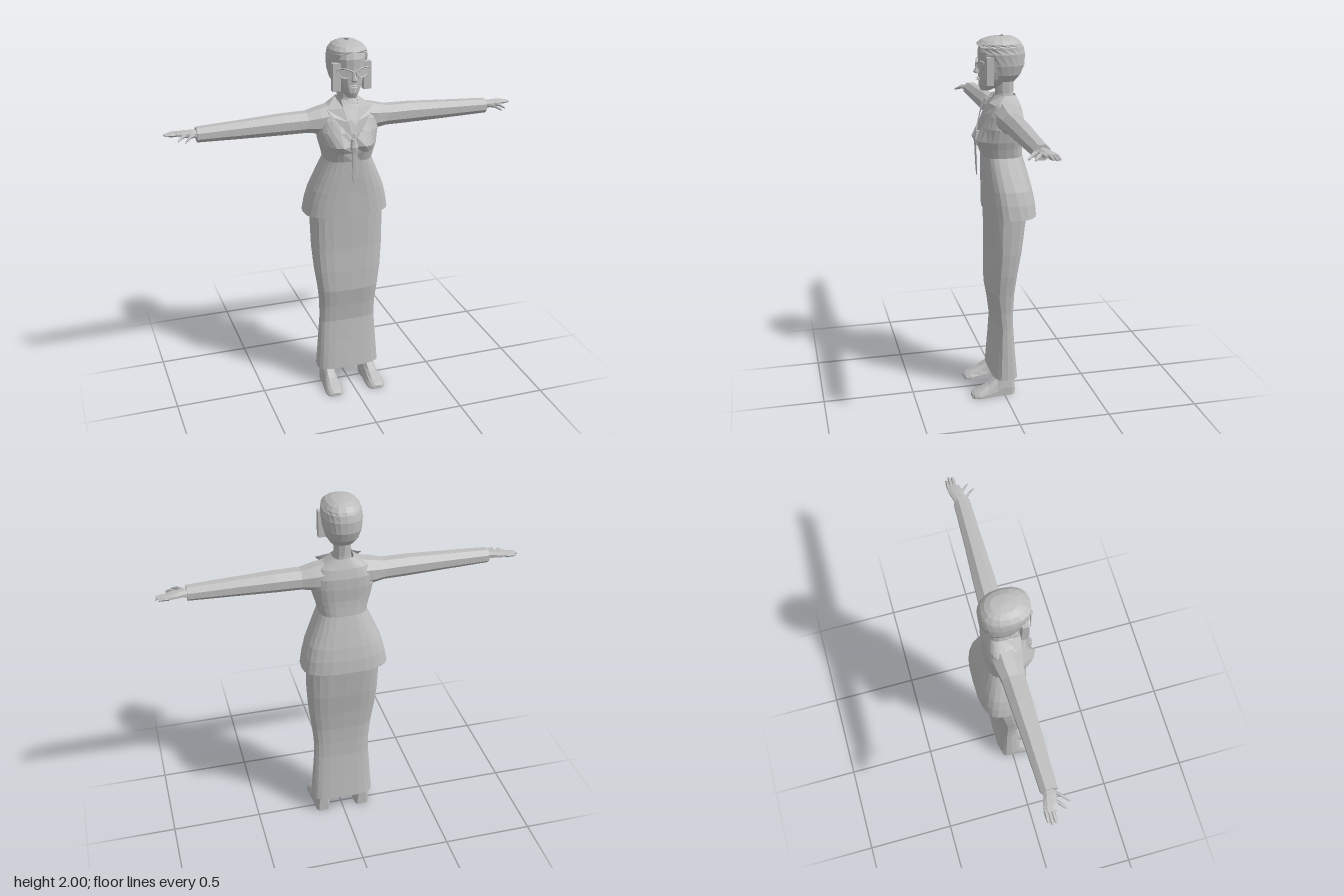
import * as THREE from 'three';

// Skin a list of point rings; optional end caps; faceted normals.
function loft(rings, { closed = true, caps = false } = {}) {
  const n = rings[0].length, pos = [], idx = [];
  rings.forEach(r => r.forEach(p => pos.push(...p)));
  for (let i = 0; i < rings.length - 1; i++) {
    for (let k = 0; k < (closed ? n : n - 1); k++) {
      const k2 = (k + 1) % n, a = i * n + k, b = i * n + k2;
      idx.push(a, b, a + n, b, b + n, a + n);
    }
  }
  if (caps) {
    [0, rings.length - 1].forEach((ri, end) => {
      const c = pos.length / 3;
      for (let d = 0; d < 3; d++) pos.push(rings[ri].reduce((s, p) => s + p[d], 0) / n);
      for (let k = 0; k < n; k++) {
        const a = ri * n + k, b = ri * n + (k + 1) % n;
        idx.push(...(end ? [a, b, c] : [b, a, c]));
      }
    });
  }
  const g = new THREE.BufferGeometry();
  g.setAttribute('position', new THREE.Float32BufferAttribute(pos, 3));
  g.setIndex(idx);
  return facet(g);
}

function facet(g) {
  const f = g.index ? g.toNonIndexed() : g;
  f.computeVertexNormals();
  return f;
}

const pow = (v, e) => Math.sign(v) * Math.abs(v) ** e;

// Horizontal rounded-box ring; gap is the half-width of a front opening.
function ring([y, hw, zf, zb, gap = 0], n, e, open = false) {
  const a0 = Math.asin(Math.min(1, (gap / hw) ** (1 / e)));
  const zc = (zf + zb) / 2, r = (zf - zb) / 2, pts = [];
  for (let k = 0; k < n; k++) {
    const a = a0 + (2 * Math.PI - 2 * a0) * k / (open ? n - 1 : n);
    pts.push([hw * pow(Math.sin(a), e), y, zc + r * pow(Math.cos(a), e)]);
  }
  return pts;
}

// Upright ring across x, for sleeves and hands.
function sideRing([x, yc, ry, zc, rz], n = 8) {
  return Array.from({ length: n }, (_, k) => {
    const a = (k + 0.5) * 2 * Math.PI / n;
    return [x, yc + ry * 1.08 * Math.cos(a), zc + rz * 1.08 * Math.sin(a)];
  });
}

export function createModel() {
  const model = new THREE.Group();
  const grey = new THREE.MeshStandardMaterial({ color: 0xbdbdbd, side: THREE.DoubleSide });
  const add = (name, geo, parent = model) => {
    const m = new THREE.Mesh(geo, grey);
    m.name = name;
    parent.add(m);
    return m;
  };

  // Long skirt
  add('skirt', loft([
    [0.1, 0.18, 0.06, -0.085], [0.28, 0.168, 0.045, -0.07], [0.4, 0.16, 0.037, -0.062],
    [0.5, 0.16, 0.05, -0.063], [0.6, 0.17, 0.068, -0.068], [0.72, 0.187, 0.068, -0.083],
    [0.85, 0.197, 0.065, -0.105], [1.05, 0.2, 0.07, -0.13], [1.2, 0.17, 0.072, -0.13],
    [1.32, 0.13, 0.08, -0.11],
  ].map(s => ring(s, 20, 0.6))));

  // Flared jacket, open in front below the waist, with a bust bulge
  const jacket = [
    [1.055, 0.235, 0.08, -0.185, 0.045], [1.13, 0.222, 0.083, -0.178, 0.03],
    [1.2, 0.203, 0.086, -0.165, 0.016], [1.27, 0.173, 0.09, -0.147, 0],
    [1.37, 0.128, 0.093, -0.12, 0], [1.42, 0.14, 0.097, -0.116, 0],
    [1.46, 0.153, 0.098, -0.115, 0], [1.53, 0.165, 0.092, -0.12, 0],
    [1.59, 0.16, 0.072, -0.12, 0], [1.64, 0.13, 0.045, -0.108, 0],
    [1.665, 0.09, 0.032, -0.098, 0], [1.69, 0.055, 0.022, -0.088, 0],
  ].map(s => ring(s, 25, 0.68, true));
  jacket.flat().forEach(p => {
    if (p[2] > 0) {
      p[2] += 0.042 * Math.exp(-(((Math.abs(p[0]) - 0.065) / 0.055) ** 2) - ((p[1] - 1.47) / 0.05) ** 2);
    }
  });
  add('jacket', loft(jacket, { closed: false }));

  // Hanging neckcloth
  add('neckcloth', loft([
    [1.26, 0.004, 0.124, 0.118], [1.3, 0.016, 0.126, 0.12], [1.42, 0.014, 0.132, 0.122],
    [1.46, 0.022, 0.137, 0.1], [1.5, 0.012, 0.125, 0.09],
  ].map(s => ring(s, 8, 0.8)), { caps: true }));

  // Neck
  add('neck', loft([
    [1.64, 0.055, 0.02, -0.085], [1.7, 0.043, 0.018, -0.08], [1.8, 0.045, 0.03, -0.085],
  ].map(s => ring(s, 10, 0.9))));

  // Head and facial features
  const head = new THREE.Group();
  head.name = 'head';
  model.add(head);
  add('face', loft([
    [1.718, 0.024, 0.096, 0.045], [1.745, 0.045, 0.108, -0.02], [1.78, 0.065, 0.109, -0.07],
    [1.82, 0.078, 0.11, -0.1], [1.87, 0.088, 0.11, -0.12], [1.92, 0.09, 0.113, -0.12],
    [1.96, 0.08, 0.1, -0.1],
  ].map(s => ring(s, 16, 0.9)), { caps: true }), head);
  add('hair', loft([
    [1.765, 0.062, 0.05, -0.085, 0.058], [1.8, 0.084, 0.07, -0.115, 0.078],
    [1.85, 0.098, 0.085, -0.135, 0.088], [1.91, 0.103, 0.112, -0.138, 0.085],
    [1.945, 0.1, 0.12, -0.13, 0.06], [1.96, 0.096, 0.117, -0.122, 0],
    [1.98, 0.078, 0.092, -0.103, 0], [1.994, 0.05, 0.05, -0.075, 0], [2, 0.012, 0, -0.03, 0],
  ].map(s => ring(s, 17, 0.85, true)), { closed: false }), head);
  add('nose', loft([
    [1.808, 0.013, 0.128, 0.1], [1.818, 0.014, 0.136, 0.1], [1.84, 0.008, 0.124, 0.1],
    [1.872, 0.006, 0.112, 0.1],
  ].map(s => ring(s, 6, 1)), { caps: true }), head);
  for (const [y, w] of [[1.775, 0.024], [1.785, 0.027]]) {
    const lip = new THREE.OctahedronGeometry(1).scale(w, 0.006, 0.016).translate(0, y, 0.107);
    add('lip', facet(lip), head);
  }

  // Sleeve, hand, shoe and the other paired parts, mirrored for the right
  for (const side of [1, -1]) {
    const half = new THREE.Group();
    half.name = side > 0 ? 'leftSide' : 'rightSide';
    half.scale.x = side;
    model.add(half);

    add('sideLock', facet(new THREE.BoxGeometry(0.042, 0.145, 0.035).translate(0.083, 1.828, 0.067)), half);

    // Almond-shaped glasses
    const lens = new THREE.Shape();
    lens.moveTo(0.008, 1.858);
    lens.quadraticCurveTo(0.045, 1.885, 0.086, 1.872);
    lens.quadraticCurveTo(0.075, 1.825, 0.04, 1.828);
    lens.quadraticCurveTo(0.014, 1.832, 0.008, 1.858);
    const rim = lens.getPoints(4).slice(0, -1).map(p => new THREE.Vector3(p.x, p.y, 0.122 - p.x * 0.3));
    const path = new THREE.CatmullRomCurve3(rim, true);
    add('glassesRim', facet(new THREE.TubeGeometry(path, 24, 0.004, 4, true)), half);
    const plate = new THREE.ShapeGeometry(lens, 4);
    const lp = plate.attributes.position;
    for (let i = 0; i < lp.count; i++) lp.setZ(i, 0.121 - lp.getX(i) * 0.3);
    add('glassesLens', facet(plate), half);

    // Lapel
    add('lapel', loft([
      [[0.045, 1.695, 0.03], [0.06, 1.7, -0.03]],
      [[0.04, 1.655, 0.062], [0.125, 1.652, 0.045]],
      [[0.025, 1.59, 0.094], [0.1, 1.615, 0.075]],
      [[0.005, 1.5, 0.118], [0.02, 1.51, 0.12]],
    ], { closed: false }), half);

    // Sleeve
    add('sleeve', loft([
      [0.09, 1.585, 0.075, -0.028, 0.075], [0.15, 1.58, 0.068, -0.026, 0.07],
      [0.22, 1.577, 0.054, -0.024, 0.058], [0.35, 1.577, 0.053, -0.022, 0.055],
      [0.55, 1.574, 0.046, -0.018, 0.048], [0.8, 1.571, 0.037, -0.015, 0.042],
    ].map(s => sideRing(s)), { caps: true }), half);

    // Hand with thumb and fingers
    add('palm', loft([
      [0.78, 1.574, 0.021, -0.016, 0.025], [0.82, 1.575, 0.019, -0.02, 0.032],
      [0.87, 1.577, 0.014, -0.03, 0.036], [0.9, 1.577, 0.01, -0.036, 0.032],
    ].map(s => sideRing(s)), { caps: true }), half);
    const digits = [
      [0.89, -0.058, 0.945, 1.572, -0.06], [0.89, -0.042, 0.96, 1.574, -0.044],
      [0.89, -0.026, 0.955, 1.576, -0.026], [0.85, -0.004, 0.9, 1.562, 0.04],
      [0.81, 0.005, 0.868, 1.56, 0.065],
    ];
    for (const [x0, z0, x1, y1, z1] of digits) {
      const mx = (x0 + x1) / 2, mz = (z0 + z1) / 2;
      add('finger', loft([
        [x0, 1.576, 0.01, z0, 0.011], [mx, 1.576, 0.009, mz, 0.01], [x1, y1, 0.005, z1, 0.006],
      ].map(s => sideRing(s, 6)), { caps: true }), half);
    }

    // Shoe with flat sole: z, centre x, half width, height
    add('shoe', loft([
      [-0.06, 0.118, 0.028, 0.12], [-0.04, 0.118, 0.04, 0.15], [0.01, 0.118, 0.042, 0.15],
      [0.04, 0.12, 0.042, 0.1], [0.09, 0.122, 0.047, 0.066], [0.145, 0.124, 0.05, 0.04],
      [0.172, 0.124, 0.042, 0.028], [0.185, 0.124, 0.025, 0.02],
    ].map(([z, x, w, h]) => [
      [1, 0], [1, 0.3], [0.75, 0.75], [0.4, 1], [-0.4, 1], [-0.75, 0.75], [-1, 0.3], [-1, 0],
    ].map(([u, v]) => [x + w * u, h * v, z])), { caps: true }), half);
  }
  return model;
}
